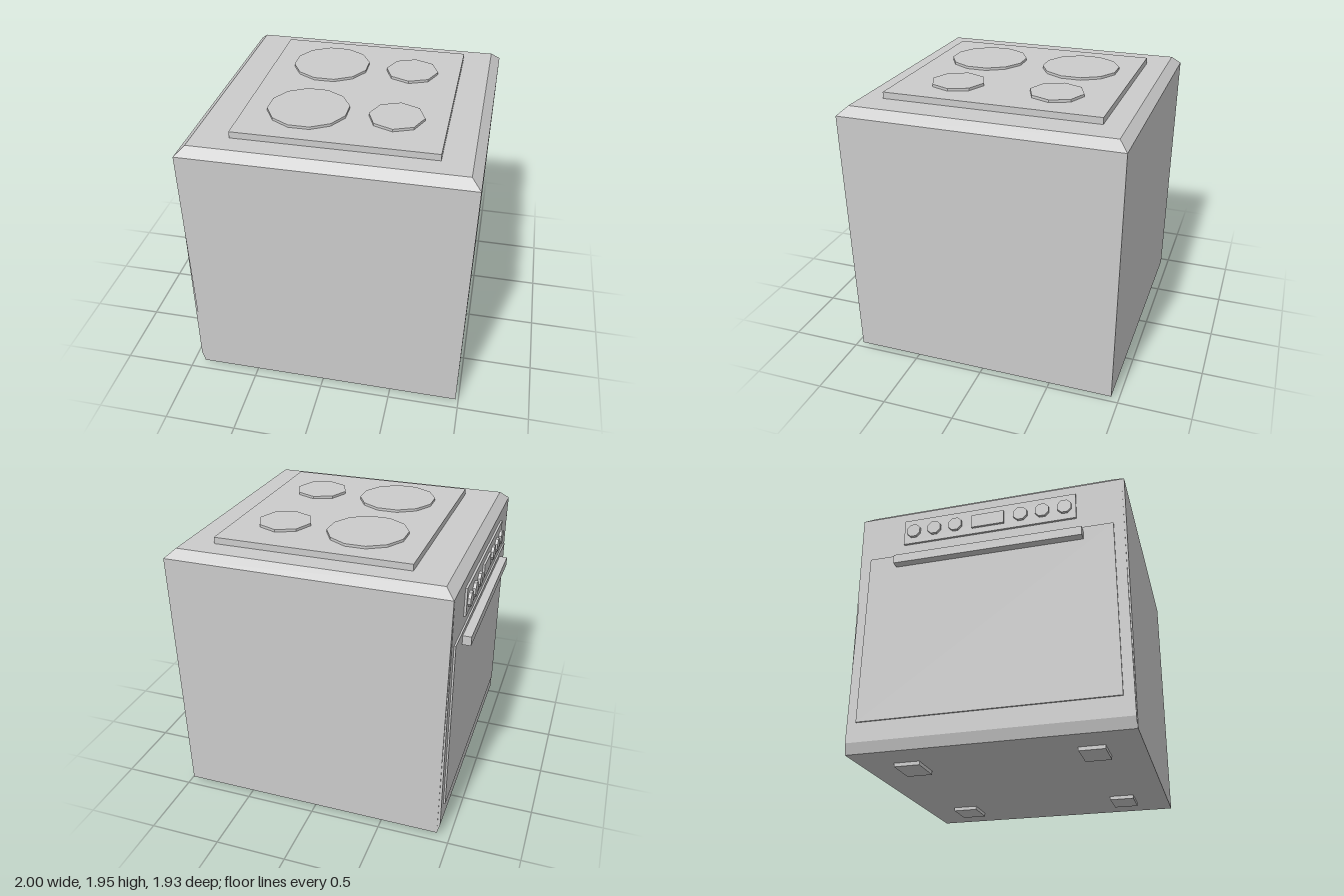
import * as THREE from 'three';

const material = new THREE.MeshStandardMaterial({ color: 0xcccccc, flatShading: true });

function add(parent, name, geometry) {
  const mesh = new THREE.Mesh(geometry, material);
  mesh.name = name;
  parent.add(mesh);
  return mesh;
}

// Box given by its limits on each axis
function box(parent, name, [x0, x1], [y0, y1], [z0, z1]) {
  const mesh = add(parent, name, new THREE.BoxGeometry(x1 - x0, y1 - y0, z1 - z0));
  mesh.position.set((x0 + x1) / 2, (y0 + y1) / 2, (z0 + z1) / 2);
  return mesh;
}

// Box whose bottom and top rectangles differ: each is [x0, x1, z0, z1]
function taperedBox(parent, name, y0, y1, bottom, top) {
  const geometry = new THREE.BoxGeometry(1, 1, 1);
  const p = geometry.attributes.position;
  for (let i = 0; i < p.count; i++) {
    const up = p.getY(i) > 0;
    const r = up ? top : bottom;
    p.setXYZ(i, p.getX(i) < 0 ? r[0] : r[1], up ? y1 : y0, p.getZ(i) < 0 ? r[2] : r[3]);
  }
  geometry.computeVertexNormals();
  return add(parent, name, geometry);
}

export function createModel() {
  const stove = new THREE.Group();
  stove.name = 'stove';

  // Cabinet, slightly wider at the top, with a bevelled rim
  const rim = [-0.93, 1.0, -0.967, 0.96];
  taperedBox(stove, 'cabinet', 0.025, 1.825, [-0.91, 0.98, -0.95, 0.945], rim);
  taperedBox(stove, 'bevelledTop', 1.825, 1.882, rim, [-0.868, 0.935, -0.905, 0.897]);

  // Upright face behind the door, cut back at the foot
  const profile = new THREE.Shape([
    [-0.90, 0.026], [-0.91, 0.026], [-0.93, 0.1], [-0.93, 1.824], [-0.90, 1.824],
  ].map(([x, y]) => new THREE.Vector2(x, y)));
  const face = add(stove, 'doorSurround',
    new THREE.ExtrudeGeometry(profile, { depth: 1.89, bevelEnabled: false }));
  face.position.z = -0.948;

  // Hob and its four plates
  box(stove, 'hob', [-0.625, 0.735], [1.87, 1.927], [-0.755, 0.75]);
  for (const z of [-0.355, 0.35]) {
    const large = add(stove, 'largePlate', new THREE.CylinderGeometry(0.276, 0.276, 0.03, 12));
    large.position.set(-0.2, 1.93, z);
    large.rotation.y = Math.PI / 12;
    const small = add(stove, 'smallPlate', new THREE.CylinderGeometry(0.187, 0.187, 0.03, 8));
    small.position.set(0.395, 1.93, z);
  }

  // Oven door and handle
  box(stove, 'ovenDoor', [-0.942, -0.91], [0.235, 1.475], [-0.88, 0.872]);
  box(stove, 'doorHandle', [-1.0, -0.935], [1.38, 1.445], [-0.675, 0.667]);

  // Control panel with display and knobs
  box(stove, 'controlPanel', [-0.945, -0.91], [1.56, 1.755], [-0.63, 0.623]);
  box(stove, 'display', [-0.96, -0.93], [1.605, 1.705], [-0.12, 0.113]);
  for (const z of [-0.555, -0.4, -0.243, 0.233, 0.388, 0.545]) {
    const knob = add(stove, 'knob', new THREE.CylinderGeometry(0.052, 0.052, 0.03, 8));
    knob.rotation.set(0, Math.PI / 8, Math.PI / 2, 'ZYX');
    knob.position.set(-0.95, 1.655, z);
  }

  // Feet
  for (const x of [[-0.675, -0.443], [0.51, 0.74]]) {
    for (const z of [[-0.71, -0.53], [0.535, 0.71]]) box(stove, 'foot', x, [0, 0.04], z);
  }
  return stove;
}
